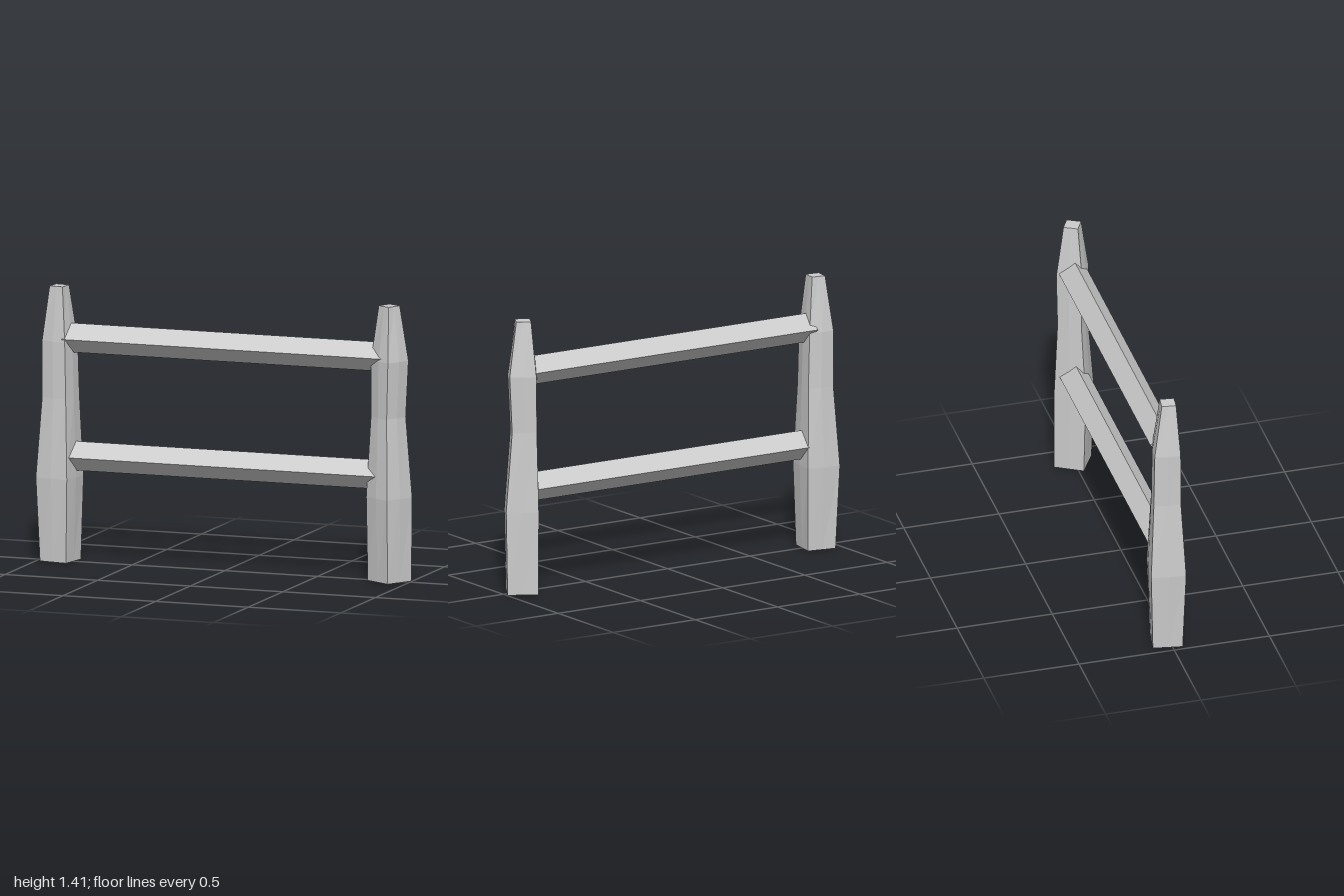
import * as THREE from 'three';

const material = new THREE.MeshStandardMaterial({ color: 0xcccccc, flatShading: true });

// Hewn post: square rings with a slightly proud midpoint on each side.
// Ring: [y, centreX, centreZ, side, turn in degrees, midpoint bulge]
function makePost(name, rings) {
  const square = [[-1, 1], [0, 1], [1, 1], [1, 0], [1, -1], [0, -1], [-1, -1], [-1, 0]];
  const n = square.length;
  const positions = [];
  const index = [];
  for (const [y, cx, cz, side, turn, bulge] of rings) {
    const c = Math.cos(THREE.MathUtils.degToRad(turn));
    const s = Math.sin(THREE.MathUtils.degToRad(turn));
    square.forEach(([px, pz], i) => {
      const r = (side / 2) * (i % 2 ? bulge : 1);
      positions.push(cx + r * (px * c - pz * s), y, cz + r * (px * s + pz * c));
    });
  }
  // Side faces between neighbouring rings
  for (let k = 0; k < rings.length - 1; k++) {
    for (let i = 0; i < n; i++) {
      const a = k * n + i;
      const b = k * n + ((i + 1) % n);
      index.push(a, b, b + n, a, b + n, a + n);
    }
  }
  // Flat bottom and top
  const top = (rings.length - 1) * n;
  for (let i = 1; i < n - 1; i++) {
    index.push(0, i + 1, i, top, top + i, top + i + 1);
  }
  const indexed = new THREE.BufferGeometry();
  indexed.setAttribute('position', new THREE.Float32BufferAttribute(positions, 3));
  indexed.setIndex(index);
  const geometry = indexed.toNonIndexed();
  geometry.computeVertexNormals();
  const mesh = new THREE.Mesh(geometry, material);
  mesh.name = name;
  return mesh;
}

// Diamond-section rail running between the posts
function makeRail(name, y) {
  const x0 = -0.857;
  const x1 = 0.87;
  const geometry = new THREE.CylinderGeometry(0.075, 0.075, x1 - x0, 4).rotateZ(Math.PI / 2);
  const mesh = new THREE.Mesh(geometry, material);
  mesh.position.set((x0 + x1) / 2, y, -0.01);
  mesh.name = name;
  return mesh;
}

export function createModel() {
  const group = new THREE.Group();
  group.name = 'fence';
  group.add(
    makePost('rightPost', [
      [0, -0.892, -0.012, 0.152, 9.5, 1],
      [0.43, -0.896, -0.012, 0.178, 8, 1.06],
      [0.84, -0.89, -0.012, 0.138, 10, 1.1],
      [1.13, -0.895, -0.012, 0.132, 9.5, 1.1],
      [1.41, -0.895, -0.004, 0.073, 7, 1],
    ]),
    makePost('leftPost', [
      [0, 0.888, -0.004, 0.157, 30, 1],
      [0.43, 0.888, 0.002, 0.165, 30, 1.06],
      [0.84, 0.88, -0.007, 0.125, 30, 1.1],
      [1.13, 0.888, -0.005, 0.135, 30, 1.1],
      [1.41, 0.885, -0.007, 0.075, 28, 1],
    ]),
    makeRail('upperRail', 1.145),
    makeRail('lowerRail', 0.54),
  );
  return group;
}
